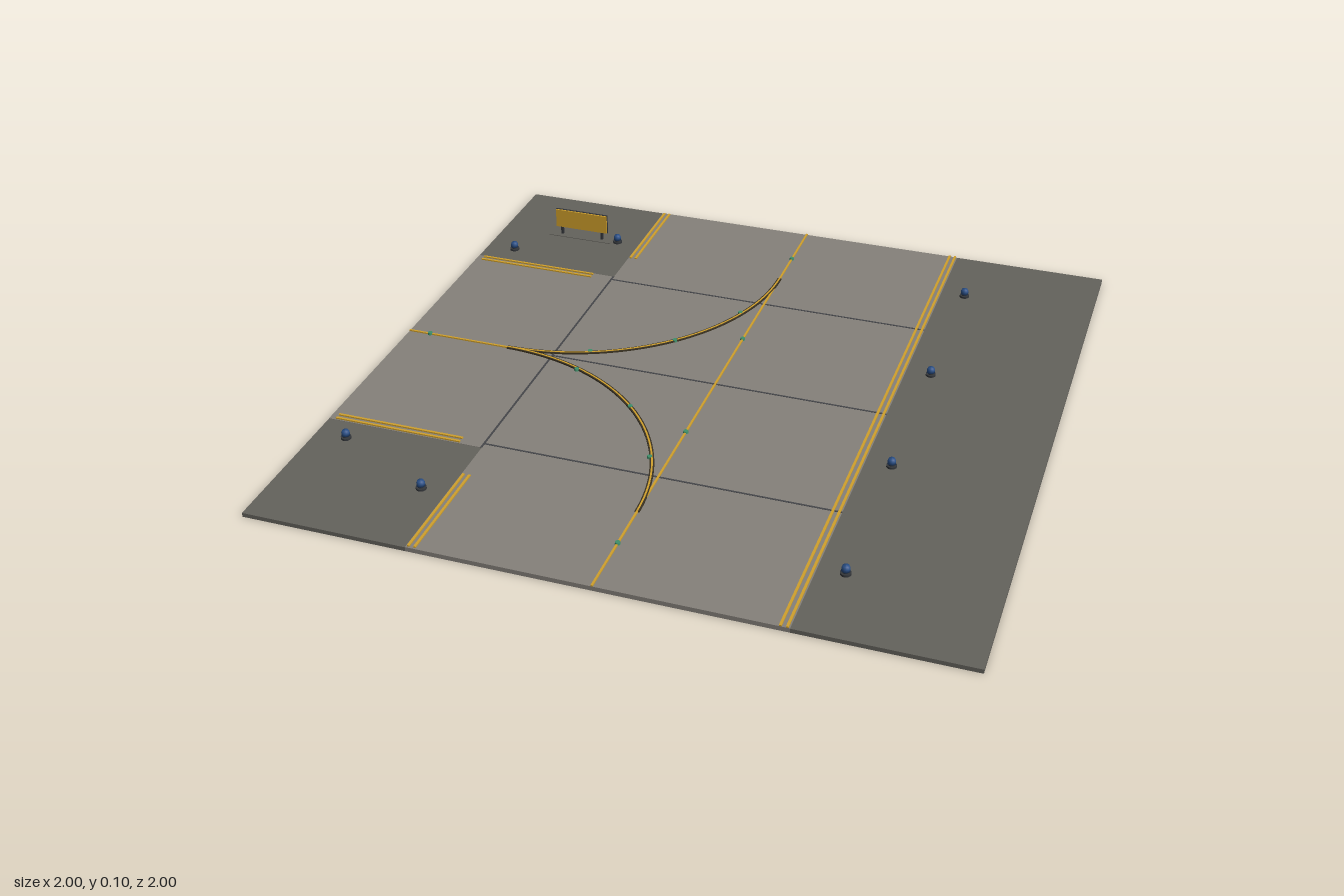
import * as THREE from 'three';

const mat = (color) => new THREE.MeshStandardMaterial({ color });
const M = {
  asphalt: mat(0x85817a), verge: mat(0x64625c), joint: mat(0x45464a), yellow: mat(0xd0a02c),
  border: mat(0x3a3222), blue: mat(0x2a4f86), metal: mat(0x33363a), green: mat(0x3f8f6a),
};
const VERGE = 0.0125, PAVE = 0.0135, R = 0.67;

export function createModel() {
  const root = new THREE.Group();

  const add = (name, geometry, material, x, y, z, parent = root) => {
    const mesh = new THREE.Mesh(geometry, material);
    mesh.name = name;
    mesh.position.set(x, y, z);
    parent.add(mesh);
    return mesh;
  };
  // Box given by its extents on each axis
  const slab = (name, material, x0, x1, y0, y1, z0, z1, parent) =>
    add(name, new THREE.BoxGeometry(x1 - x0, y1 - y0, z1 - z0), material,
      (x0 + x1) / 2, (y0 + y1) / 2, (z0 + z1) / 2, parent);

  // Pavement and surrounding ground
  slab('mainTaxiway', M.asphalt, -0.52, 0.52, 0, PAVE, -1, 1);
  slab('branchTaxiway', M.asphalt, -1, -0.52, 0, PAVE, -0.52, 0.52);
  slab('rightVerge', M.verge, 0.52, 1, 0, VERGE, -1, 1);
  slab('backCornerVerge', M.verge, -1, -0.52, 0, VERGE, -1, -0.52);
  slab('frontCornerVerge', M.verge, -1, -0.52, 0, VERGE, 0.52, 1);

  // Expansion joints
  for (const z of [-0.5, 0, 0.5])
    slab('crossJoint', M.joint, -0.52, 0.52, PAVE, PAVE + 0.0008, z - 0.003, z + 0.003);
  slab('branchJoint', M.joint, -0.525, -0.519, PAVE, PAVE + 0.0008, -0.52, 0.52);

  // Straight centre lines
  const line = (name, x0, x1, z0, z1) => slab(name, M.yellow, x0, x1, PAVE, 0.0175, z0, z1);
  line('mainCentreLine', -0.003, 0.003, -1, 1);
  line('branchCentreLine', -1, -0.6, -0.003, 0.003);

  // Double edge lines
  for (const d of [0.495, 0.513]) {
    line('rightEdgeLine', d - 0.0035, d + 0.0035, -1, 1);
    for (const s of [-1, 1]) {
      const c = s * 0.825;
      line('leftEdgeLine', -d - 0.0035, -d + 0.0035, c - 0.17, c + 0.17);
      line('branchEdgeLine', -0.98, -0.59, s * d - 0.0035, s * d + 0.0035);
    }
  }

  // Curved lead-in lines: a yellow stripe on a wider dark border
  const arcBand = (name, material, s, halfWidth, top) => {
    const a0 = s < 0 ? -Math.PI / 2 : 0, a1 = a0 + Math.PI / 2;
    const shape = new THREE.Shape();
    shape.absarc(0, 0, R + halfWidth, a0, a1, false);
    shape.absarc(0, 0, R - halfWidth, a1, a0, true);
    const g = new THREE.ExtrudeGeometry(shape, { depth: top - PAVE, bevelEnabled: false, curveSegments: 32 });
    g.rotateX(-Math.PI / 2);
    add(name, g, material, -R, PAVE, s * R);
  };
  for (const s of [-1, 1]) {
    arcBand('curveBorder', M.border, s, 0.0065, 0.018);
    arcBand('curveLine', M.yellow, s, 0.0025, 0.019);
  }

  // Flush green centre-line lights
  const greenSpots = [[-0.93, 0]];
  for (const s of [-1, 1])
    greenSpots.push([0, s * 0.27], [0, s * 0.815], [-0.42, s * 0.055], [-0.196, s * 0.196], [-0.055, s * 0.42]);
  const greenGeo = new THREE.CylinderGeometry(0.007, 0.008, 0.007, 12);
  for (const [x, z] of greenSpots) add('centreLight', greenGeo, M.green, x, PAVE + 0.0035, z);

  // Raised blue edge lights
  const baseGeo = new THREE.CylinderGeometry(0.015, 0.015, 0.006, 16);
  const stemGeo = new THREE.CylinderGeometry(0.009, 0.009, 0.008, 12);
  const lensGeo = new THREE.LatheGeometry(
    [[0, 0], [0.012, 0], [0.012, 0.009], [0.009, 0.016], [0, 0.018]].map(([r, y]) => new THREE.Vector2(r, y)), 16);
  const edgeSpots = [];
  for (const s of [-1, 1])
    edgeSpots.push([-0.905, s * 0.595], [-0.595, s * 0.75], [0.595, s * 0.75], [0.595, s * 0.25]);
  for (const [x, z] of edgeSpots) {
    const light = new THREE.Group();
    light.name = 'edgeLight';
    light.position.set(x, VERGE, z);
    add('lightBase', baseGeo, M.metal, 0, 0.003, 0, light);
    add('lightStem', stemGeo, M.metal, 0, 0.008, 0, light);
    add('lightLens', lensGeo, M.blue, 0, 0.011, 0, light);
    root.add(light);
  }

  // Guidance sign: yellow face on a dark backing, two legs and a low pad
  const sign = new THREE.Group();
  sign.name = 'guidanceSign';
  slab('signPad', M.verge, -0.835, -0.615, VERGE, VERGE + 0.002, -0.77, -0.73, sign);
  for (const x of [-0.795, -0.652])
    slab('signLeg', M.metal, x - 0.004, x + 0.004, VERGE, 0.045, -0.756, -0.748, sign);
  slab('signBacking', M.metal, -0.815, -0.631, 0.04, 0.105, -0.757, -0.751, sign);
  slab('signFace', M.yellow, -0.814, -0.632, 0.041, 0.104, -0.751, -0.746, sign);
  root.add(sign);

  return root;
}
